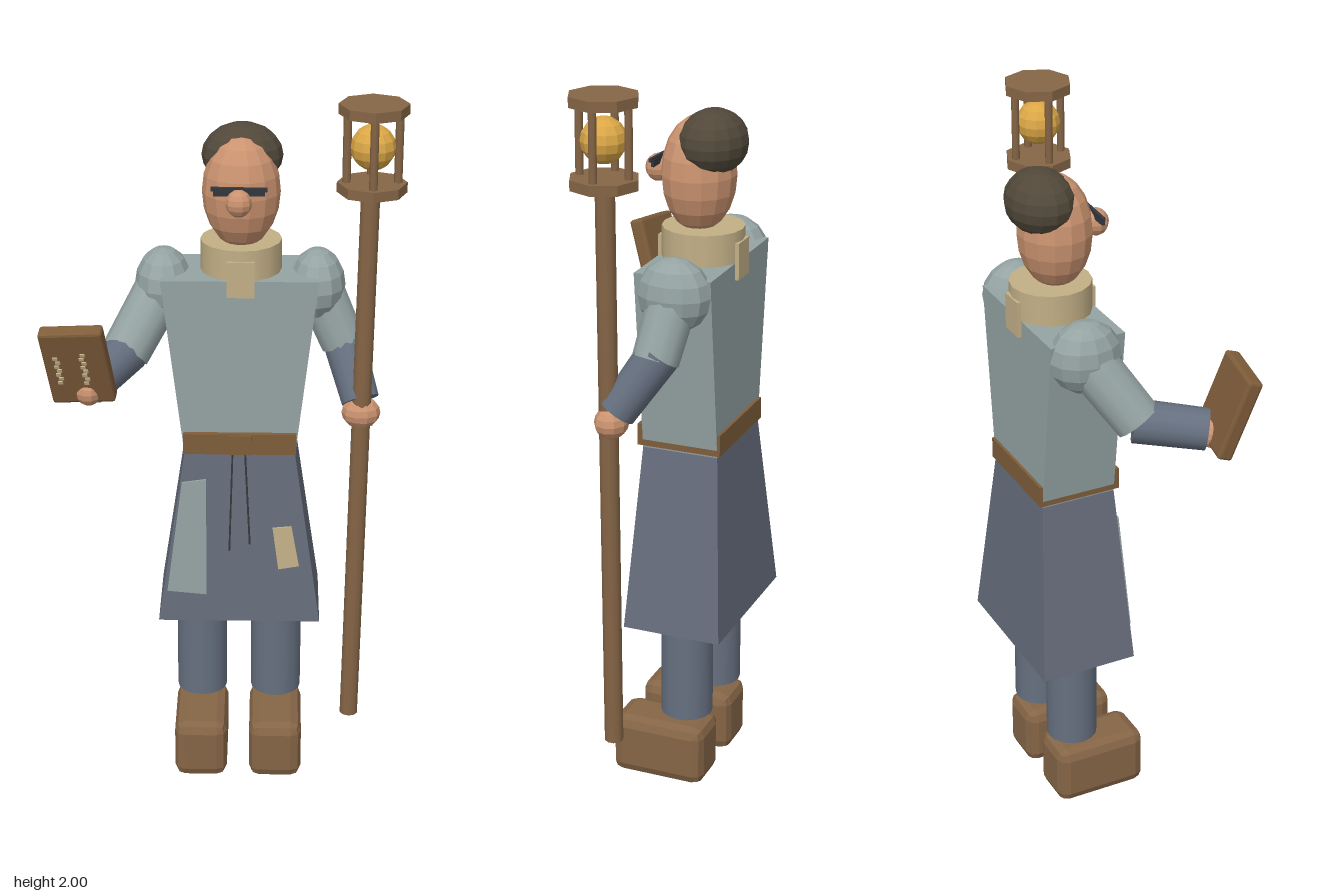
import * as THREE from 'three';
import { RoundedBoxGeometry } from 'three/addons/geometries/RoundedBoxGeometry.js';

const mat = (name, color) => {
  const m = new THREE.MeshStandardMaterial({ color });
  m.name = name;
  return m;
};

// Split the faces so that each is lit flat
function facet(geo) {
  const g = geo.index ? geo.toNonIndexed() : geo;
  g.computeVertexNormals();
  return g;
}

// Box whose top and bottom rectangles differ: [x0, x1, z0, z1]
function taperedBox(y0, y1, bottom, top) {
  const g = new THREE.BoxGeometry(1, 1, 1);
  const p = g.attributes.position;
  for (let i = 0; i < p.count; i++) {
    const r = p.getY(i) > 0 ? top : bottom;
    p.setXYZ(i, p.getX(i) > 0 ? r[1] : r[0], p.getY(i) > 0 ? y1 : y0, p.getZ(i) > 0 ? r[3] : r[2]);
  }
  return facet(g);
}

export function createModel() {
  const model = new THREE.Group();
  model.name = 'figure';
  const M = {
    shirt: mat('shirt grey', 0x95a3a3),
    skirt: mat('skirt slate', 0x666d7b),
    sleeve: mat('sleeve slate', 0x667080),
    wood: mat('wood brown', 0x856546),
    leather: mat('leather brown', 0x7f5d3a),
    skin: mat('skin', 0xcb9370),
    hair: mat('hair brown', 0x51483a),
    cloth: mat('cloth tan', 0xc2af86),
    glow: mat('lamp gold', 0xdba746),
    dark: mat('dark metal', 0x33383d),
  };

  const add = (name, geo, material, pos = [0, 0, 0], parent = model) => {
    const mesh = new THREE.Mesh(geo, material);
    mesh.name = name;
    mesh.position.set(...pos);
    parent.add(mesh);
    return mesh;
  };
  const ball = (name, material, pos, r, w = 12, h = 8) =>
    add(name, facet(new THREE.SphereGeometry(1, w, h).scale(...r)), material, pos);
  const box = (name, size, material, pos, parent) =>
    add(name, new THREE.BoxGeometry(...size), material, pos, parent);
  // Cylinder running between two points
  const limb = (name, material, a, b, ra, rb, sides = 14) => {
    const A = new THREE.Vector3(...a), B = new THREE.Vector3(...b);
    const d = B.clone().sub(A);
    const mesh = add(name, new THREE.CylinderGeometry(rb, ra, d.length(), sides), material);
    mesh.position.copy(A).add(B).multiplyScalar(0.5);
    mesh.quaternion.setFromUnitVectors(new THREE.Vector3(0, 1, 0), d.normalize());
    return mesh;
  };

  // Boots and legs
  for (const [side, x] of [['right', -0.066], ['left', 0.148]]) {
    add(side + 'Boot', facet(new RoundedBoxGeometry(0.15, 0.175, 0.27, 1, 0.03)), M.wood, [x, 0.0875, -0.045]);
    limb(side + 'Leg', M.sleeve, [x, 0.205, -0.11], [x, 0.6, -0.11], 0.072, 0.072, 16);
  }

  // Skirt, torso and belt
  const waist = [-0.11, 0.195, -0.213, 0];
  add('skirt', taperedBox(0.49, 1.0, [-0.185, 0.27, -0.25, 0.028], waist), M.skirt);
  add('torso', taperedBox(1.0, 1.505, waist, [-0.172, 0.252, -0.213, 0]), M.shirt);
  box('belt', [0.31, 0.06, 0.236], M.leather, [0.0425, 1.035, -0.103]);
  box('buckle', [0.065, 0.056, 0.02], M.leather, [0.043, 1.035, 0.013]);

  // Thin plates lying on the sloped skirt front
  const plate = (name, material, corners) => {
    const shape = new THREE.Shape(corners.map(([x, y]) => new THREE.Vector2(x, y)));
    const g = new THREE.ExtrudeGeometry(shape, { depth: 0.006, bevelEnabled: false });
    const p = g.attributes.position;
    for (let i = 0; i < p.count; i++) p.setZ(i, p.getZ(i) + 0.001 + (1 - p.getY(i)) * 0.055);
    add(name, facet(g), material);
  };
  plate('largePatch', M.shirt, [[-0.16, 0.585], [-0.05, 0.575], [-0.05, 0.925], [-0.118, 0.915]]);
  plate('smallPatch', M.cloth, [[0.152, 0.655], [0.21, 0.665], [0.188, 0.785], [0.135, 0.78]]);
  plate('beltString', M.dark, [[0.012, 0.71], [0.017, 0.71], [0.025, 1.0], [0.02, 1.0]]);
  plate('beltString', M.dark, [[0.069, 0.73], [0.074, 0.73], [0.06, 1.0], [0.055, 1.0]]);

  // Collar with front and back tabs
  add('collar', new THREE.CylinderGeometry(0.11, 0.11, 0.1, 16), M.cloth, [0.043, 1.54, -0.11]);
  box('collarTabs', [0.074, 0.1, 0.228], M.cloth, [0.043, 1.51, -0.11]);

  // Head
  ball('head', M.skin, [0.043, 1.727, -0.097], [0.105, 0.156, 0.1], 14, 10);
  ball('hair', M.hair, [0.045, 1.815, -0.137], [0.109, 0.087, 0.091], 14, 10);
  ball('nose', M.skin, [0.038, 1.73, 0.02], [0.035, 0.037, 0.035], 10, 8);
  box('glassesBar', [0.148, 0.01, 0.009], M.dark, [0.038, 1.765, 0.01]).rotation.y = -0.04;
  for (const x of [-0.001, 0.078]) box('lens', [0.056, 0.018, 0.008], M.dark, [x, 1.756, 0.009]);

  // Arms
  const shoulderR = [-0.167, 1.46, -0.113], elbowR = [-0.268, 1.295, -0.01];
  const shoulderL = [0.25, 1.46, -0.113], elbowL = [0.322, 1.3, -0.09];
  ball('rightShoulder', M.shirt, shoulderR, [0.078, 0.1, 0.1]);
  ball('leftShoulder', M.shirt, shoulderL, [0.076, 0.1, 0.1]);
  limb('rightUpperArm', M.shirt, shoulderR, elbowR, 0.07, 0.066, 12);
  limb('leftUpperArm', M.shirt, shoulderL, elbowL, 0.066, 0.062, 12);
  limb('rightForearm', M.sleeve, [-0.262, 1.295, -0.02], [-0.348, 1.27, 0.15], 0.059, 0.056);
  limb('leftForearm', M.sleeve, [0.318, 1.32, -0.1], [0.37, 1.165, -0.002], 0.058, 0.052);
  ball('rightHand', M.skin, [-0.355, 1.258, 0.165], [0.036, 0.04, 0.042], 10, 8);
  ball('leftHand', M.skin, [0.372, 1.135, 0.012], [0.053, 0.045, 0.045], 10, 8);

  // Book with rows of pale stitches on its cover
  const book = new THREE.Group();
  book.name = 'book';
  book.position.set(-0.379, 1.345, 0.194);
  book.rotation.set(0.32, -0.1, 0.13);
  model.add(book);
  add('bookCover', facet(new RoundedBoxGeometry(0.17, 0.235, 0.042, 1, 0.008)), M.leather, [0, 0, 0], book);
  for (const [x, y, n] of [[-0.05, 0.005, 7], [0.02, 0.008, 8]])
    for (let i = 0; i < n; i++)
      box('bookStitch', [0.013, 0.009, 0.005], M.cloth,
        [x + (i % 2) * 0.005, y + (i - n / 2) * 0.0135, 0.0225], book);

  // Staff and lantern
  limb('staff', M.wood, [0.36, 0.19, 0.02], [0.381, 1.78, 0.02], 0.026, 0.026, 10);
  const lantern = new THREE.Group();
  lantern.name = 'lantern';
  lantern.position.set(0.384, 1.885, 0.02);
  model.add(lantern);
  for (const y of [-0.107, 0.102])
    add('lanternPlate', facet(new THREE.CylinderGeometry(0.092, 0.092, 0.027, 8)), M.wood, [0, y, 0], lantern);
  for (let i = 0; i < 4; i++) {
    const a = i * Math.PI / 2;
    add('lanternPost', new THREE.CylinderGeometry(0.011, 0.011, 0.2, 8), M.wood,
      [0.067 * Math.cos(a), 0, 0.067 * Math.sin(a)], lantern);
  }
  add('lanternGlow', facet(new THREE.SphereGeometry(0.06, 12, 8)), M.glow, [0, 0, 0], lantern);

  return model;
}
